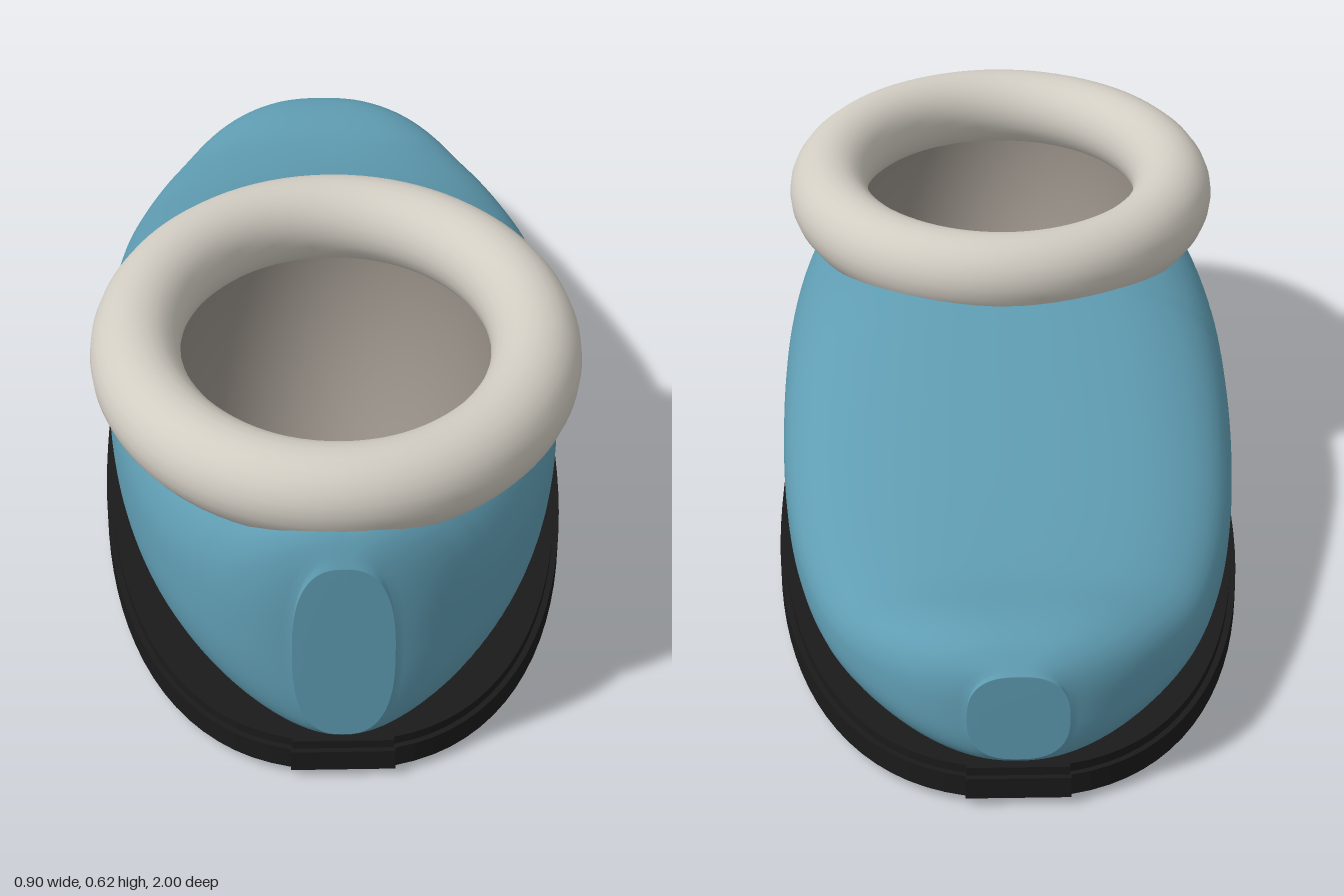
import * as THREE from 'three';
import { mergeGeometries } from 'three/addons/utils/BufferGeometryUtils.js';

const material = (name, color, side = THREE.FrontSide) => {
  const m = new THREE.MeshStandardMaterial({ color, side });
  m.name = name;
  return m;
};

// Half width of the footprint at a given z, with blunt toe and heel
const halfWidth = (z) =>
  Math.max(0.09, 0.45 * Math.pow(Math.max(0, 1 - Math.pow(Math.abs(z), 2.4)), 1 / 2.4));

// Height of the upper along its centre line, toe (-z) to heel (+z)
const ridge = new THREE.CubicInterpolant(
  [-1, -0.95, -0.73, -0.5, -0.28, -0.07, 0.05, 0.2, 0.7, 0.9, 0.97, 1],
  [0.26, 0.3, 0.305, 0.35, 0.425, 0.5, 0.523, 0.527, 0.527, 0.523, 0.505, 0.45], 1);

const OPENING_Z = 0.445;

// Upper: rounded cross-sections along z, left open at the top around the foot hole
function upperGeometry() {
  const rows = 96, cols = 72, n = 2.6;
  const pos = [], index = [], seams = [];
  for (let j = -1; j <= rows + 1; j++) {
    const cap = j < 0 || j > rows; // end rows collapse to close the toe and heel
    const t = Math.min(rows, Math.max(0, j)) / rows;
    const z = Math.sin((t - 0.5) * Math.PI);
    const w = halfWidth(z) * 0.967;
    const top = ridge.evaluate(z)[0];
    const bottom = 0.065 + 0.03 * Math.pow(Math.abs(z), 40);
    const mid = (top + bottom) / 2, h = (top - bottom) / 2;
    const hole = 0.31 * Math.sqrt(Math.max(0, 1 - ((z - OPENING_Z) / 0.43) ** 2));
    const start = Math.asin(Math.pow(Math.min(1, hole / w), n / 2));
    const s = cap ? 0 : 1;
    for (let i = 0; i <= cols; i++) {
      const a = start + (2 * Math.PI - 2 * start) * i / cols;
      const round = (v) => Math.sign(v) * Math.pow(Math.abs(v), 2 / n);
      pos.push(s * w * round(Math.sin(a)), mid + s * h * round(Math.cos(a)), z);
    }
    const first = (j + 1) * (cols + 1);
    if (hole === 0) seams.push(first, first + cols);
    if (j <= rows) for (let i = 0; i < cols; i++) {
      const a = first + i, c = a + cols + 1;
      index.push(a, c, a + 1, a + 1, c, c + 1);
    }
  }
  const g = new THREE.BufferGeometry();
  g.setAttribute('position', new THREE.Float32BufferAttribute(pos, 3));
  g.setIndex(index);
  g.computeVertexNormals();
  // Smooth the seam along the ridge
  const nor = g.attributes.normal, v = new THREE.Vector3();
  for (const k of seams) {
    v.fromBufferAttribute(nor, k).setX(0).normalize();
    nor.setXYZ(k, v.x, v.y, v.z);
  }
  return g;
}

// Flat slab with the footprint outline
function slab(y, height, sx, sz) {
  const pts = [], N = 48;
  for (const side of [1, -1]) {
    for (let k = 0; k <= N; k++) {
      const z = side * Math.sin((k / N - 0.5) * Math.PI);
      pts.push(new THREE.Vector2(side * halfWidth(z) * sx, z * sz));
    }
  }
  const g = new THREE.ExtrudeGeometry(new THREE.Shape(pts), { depth: height, bevelEnabled: false });
  return g.rotateX(-Math.PI / 2).translate(0, y, 0);
}

// Staggered rows of small pyramid studs under the sole
function treadGeometry() {
  const studs = [];
  for (let i = 0; i < 19; i++) {
    const z = 0.87 - i * 0.0965;
    for (let k = 0; k < 7; k++) {
      const x = -0.345 + k * 0.11 + (i % 2) * 0.055;
      if (Math.abs(x) > halfWidth(z) - 0.05) continue;
      studs.push(new THREE.ConeGeometry(0.022, 0.016, 6).rotateX(Math.PI).translate(x, 0.008, z));
    }
  }
  return mergeGeometries(studs);
}

// Closed ellipse followed by the collar
class EllipseRing extends THREE.Curve {
  getPoint(t, target = new THREE.Vector3()) {
    const a = t * Math.PI * 2;
    return target.set(0.36 * Math.cos(a), 0.535, OPENING_Z + 0.45 * Math.sin(a));
  }
}

export function createModel() {
  const group = new THREE.Group();
  group.name = 'slipper';
  const teal = material('teal fabric', 0x5f9cb2, THREE.DoubleSide);
  const cream = material('cream fleece', 0xd2cdc3);
  const lining = material('grey lining', 0x918a82, THREE.DoubleSide);
  const black = material('black rubber', 0x1a1a1a);

  const add = (name, geometry, mat) => {
    const mesh = new THREE.Mesh(geometry, mat);
    mesh.name = name;
    group.add(mesh);
  };

  add('outsole', slab(0.015, 0.04, 1, 1), black);
  add('midsole', slab(0.055, 0.016, 0.975, 0.99), black);
  add('treadStuds', treadGeometry(), black);
  add('upper', upperGeometry(), teal);
  add('collar', new THREE.TubeGeometry(new EllipseRing(), 96, 0.081, 24, true), cream);

  // Bowl-shaped inside of the shoe
  const bowl = new THREE.SphereGeometry(1, 48, 20, 0, Math.PI * 2, Math.PI / 2, Math.PI / 2);
  add('innerLining', bowl.scale(0.3, 0.43, 0.41).translate(0, 0.53, OPENING_Z), lining);
  return group;
}
